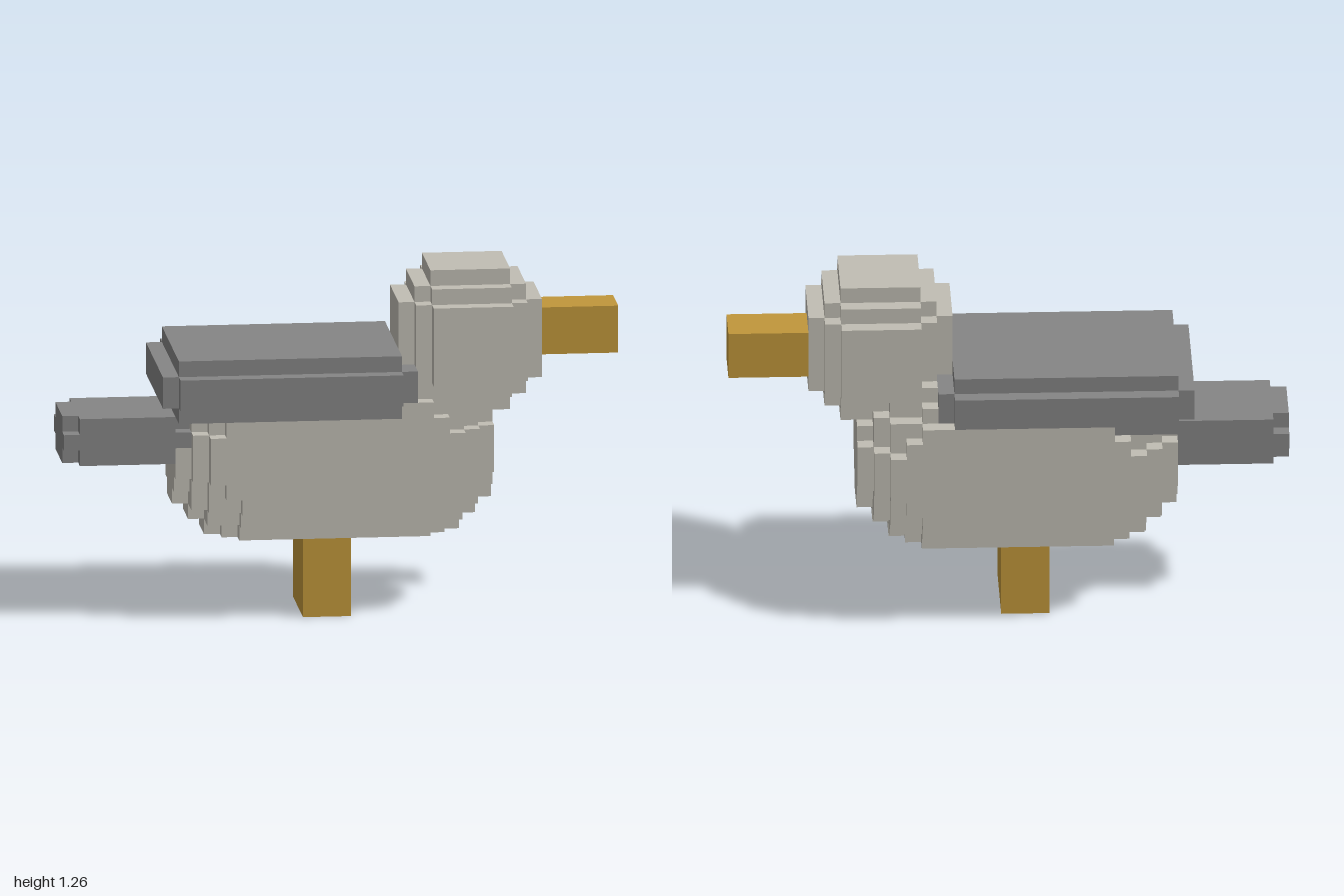
import * as THREE from 'three';

const U = 2 / 35; // edge length of one block
const ORIGIN = [-1, 0, -6 * U];

const mat = (name, color) => new THREE.MeshStandardMaterial({ name, color });

// Rounded block: a box whose cells lie in a ball of radius r, stretched along x
const ball = (cx, cy, cz, r, stretch = 0) => (x, y, z) => {
  const dx = Math.max(0, Math.abs(x - cx) - stretch);
  return dx * dx + (y - cy) ** 2 + (z - cz) ** 2 < r * r;
};

// Box from cell a up to (not including) cell b;
// drops cells that touch more than maxEnds of the box's three pairs of sides
const box = (a, b, maxEnds = 3) => (...p) => {
  if (p.some((v, i) => v < a[i] || v >= b[i])) return false;
  return p.filter((v, i) => v === a[i] || v === b[i] - 1).length <= maxEnds;
};

// The six face directions, each with two axes u, v so that u x v = n
const FACES = [];
for (let axis = 0; axis < 3; axis++) {
  for (const sign of [1, -1]) {
    const unit = (k) => [0, 1, 2].map((i) => (i === k % 3 ? 1 : 0));
    const u = unit(axis + 1), v = unit(axis + 2);
    FACES.push({ axis, sign, n: unit(axis).map((c) => c * sign), u: sign > 0 ? u : v, v: sign > 0 ? v : u });
  }
}

export function createModel() {
  const grey = mat('pale grey plumage', 0xc1beb4);
  const dark = mat('dark grey feathers', 0x858585);
  const gold = mat('golden beak and legs', 0xc1973b);

  // Earlier parts take precedence where parts overlap
  const parts = [
    { name: 'foldedWings', material: dark, inside: box([6, 13, 0], [22, 17, 12], 1) },
    { name: 'tail', material: dark, inside: box([0, 10, 3], [8, 13, 9], 2) },
    { name: 'beak', material: gold, inside: box([30, 16, 4], [35, 19, 7]) },
    { name: 'legs', material: gold, inside: box([15, 0, 3], [18, 5, 9]) },
    { name: 'head', material: grey, inside: ball(25, 17, 6, 5) },
    { name: 'body', material: grey, inside: ball(16.5, 10, 5, 6, 4.5) },
  ];
  const owner = (x, y, z) => parts.find((p) => p.inside(x, y, z));

  // Collect the exposed faces of every cell for the part that owns it
  for (const p of parts) p.position = [], p.normal = [];
  for (let x = 0; x < 35; x++) for (let y = 0; y < 22; y++) for (let z = 0; z < 12; z++) {
    const part = owner(x, y, z);
    if (!part) continue;
    for (const { axis, sign, n, u, v } of FACES) {
      if (owner(x + n[0], y + n[1], z + n[2])) continue;
      const base = [x, y, z];
      if (sign > 0) base[axis] += 1;
      for (const [s, t] of [[0, 0], [1, 0], [1, 1], [0, 0], [1, 1], [0, 1]]) {
        part.position.push(...base.map((c, i) => ORIGIN[i] + (c + s * u[i] + t * v[i]) * U));
        part.normal.push(...n);
      }
    }
  }

  const group = new THREE.Group();
  group.name = 'blockBird';
  for (const { name, material, position, normal } of parts) {
    const geometry = new THREE.BufferGeometry();
    geometry.setAttribute('position', new THREE.Float32BufferAttribute(position, 3));
    geometry.setAttribute('normal', new THREE.Float32BufferAttribute(normal, 3));
    const mesh = new THREE.Mesh(geometry, material);
    mesh.name = name;
    group.add(mesh);
  }
  return group;
}
